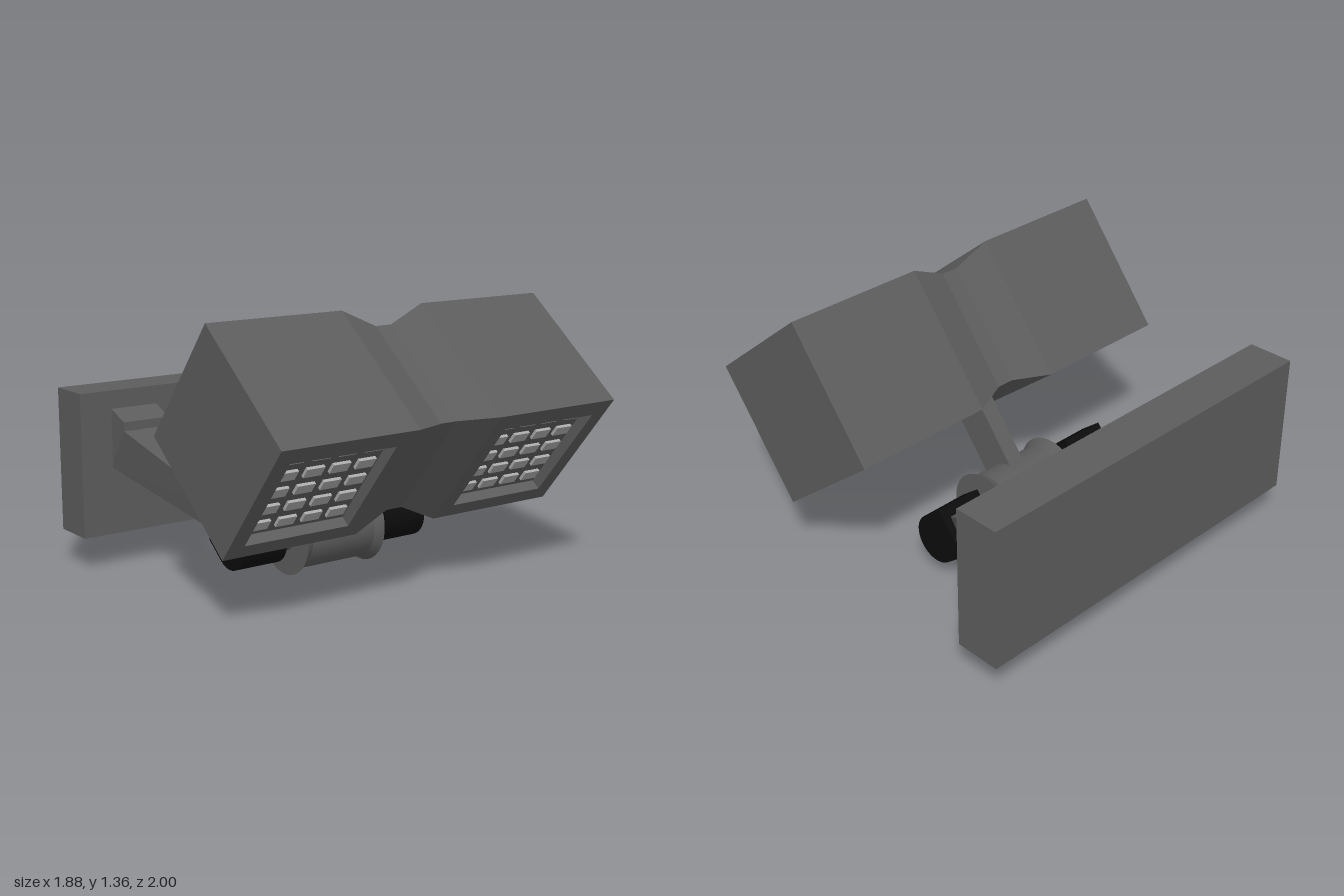
import * as THREE from 'three';
import { toCreasedNormals } from 'three/addons/utils/BufferGeometryUtils.js';
import { ConvexGeometry } from 'three/addons/geometries/ConvexGeometry.js';

const grey = new THREE.MeshStandardMaterial({ color: 0x5c5c5c, flatShading: true });
const greySmooth = new THREE.MeshStandardMaterial({ color: 0x5c5c5c });
const black = new THREE.MeshStandardMaterial({ color: 0x0c0c0c, flatShading: true });
const pale = new THREE.MeshStandardMaterial({ color: 0xaaaaaa, flatShading: true });

const HALF = 0.366;      // half side of the square lamp head
const PIVOT = -0.829;    // joint axis below the head centre
const RECESS = 0.055;    // depth of the light recesses

function add(parent, name, geometry, material, x = 0, y = 0, z = 0) {
  const mesh = new THREE.Mesh(geometry, material);
  mesh.name = name;
  mesh.position.set(x, y, z);
  parent.add(mesh);
  return mesh;
}

// Lathe turned so that its axis runs along z
function latheZ(points, segments, phi = 0) {
  const profile = points.map(([r, z]) => new THREE.Vector2(r, z));
  return new THREE.LatheGeometry(profile, segments, phi).rotateX(Math.PI / 2);
}

// Two wall brackets, each a wedge block and a tapering strut
function addBracket(parent, side) {
  const hull = (pts) => new ConvexGeometry(pts.map(([x, y, z]) => new THREE.Vector3(x, y, z * side)));
  const z0 = 0.595, z1 = 0.848;
  const block = [[-0.715, 0.815], [-0.585, 0.765], [-0.585, 0.72], [-0.715, 0.51]];
  add(parent, 'bracketBlock', hull(block.flatMap(([x, y]) => [[x, y, z0], [x, y, z1]])), grey);
  add(parent, 'bracketStrut', hull([
    [-0.585, 0.72, z0], [-0.585, 0.72, z1], [-0.71, 0.515, z0], [-0.71, 0.515, z1],
    [-0.15, 0.34, 0.36], [-0.15, 0.34, 0.51], [-0.238, 0.21, 0.36], [-0.238, 0.21, 0.51],
  ]), grey);
}

// Black clevis end: flat towards the wall, round on the other side
function clevisGeometry() {
  const r = 0.125;
  const s = new THREE.Shape();
  s.moveTo(-0.137, -r);
  s.lineTo(0, -r);
  s.absarc(0, 0, r, -Math.PI / 2, Math.PI / 2, false);
  s.lineTo(-0.137, r);
  s.closePath();
  return new THREE.ExtrudeGeometry(s, { depth: 0.252, bevelEnabled: false, curveSegments: 8 })
    .translate(0, 0, -0.126);
}

// One end of the lamp head: box, recessed frame and a grid of lights
function addLampEnd(parent, side) {
  const z0 = 0.235, z1 = 0.965, length = z1 - z0, mid = side * (z0 + z1) / 2;
  add(parent, 'lampBox', new THREE.BoxGeometry(2 * HALF - RECESS, 2 * HALF, length), grey, -RECESS / 2, 0, mid);

  const cz = side * 0.6;
  const frame = new THREE.Shape();
  const rect = (path, a0, a1, b0, b1) => path.moveTo(a0, b0).lineTo(a1, b0).lineTo(a1, b1).lineTo(a0, b1).closePath();
  // Shape x runs along -z once turned to face the lamp front
  rect(frame, -mid - length / 2, -mid + length / 2, -HALF, HALF);
  const hole = new THREE.Path();
  rect(hole, -cz - 0.282, -cz + 0.282, -0.283, 0.27);
  frame.holes.push(hole);
  const frameGeo = new THREE.ExtrudeGeometry(frame, { depth: RECESS, bevelEnabled: false }).rotateY(Math.PI / 2);
  add(parent, 'lampFrame', frameGeo, grey, HALF - RECESS, 0, 0);

  const cell = new THREE.BoxGeometry(0.02, 0.055, 0.095);
  for (let row = 0; row < 5; row++) {
    for (let col = 0; col < 4; col++) {
      add(parent, 'lightCell', cell, pale,
        HALF - RECESS + 0.005, -0.213 + row * 0.1123, cz + (col - 1.5) * 0.139);
    }
  }
}

export function createModel() {
  const model = new THREE.Group();
  model.name = 'wallLamp';

  add(model, 'wallPlate', new THREE.BoxGeometry(0.235, 0.73, 2), grey, -0.8275, 0.54, 0);

  const mount = new THREE.Group();
  mount.name = 'mount';
  mount.position.z = -0.0175;
  model.add(mount);

  // Tilted assembly: lamp head, arm and pivot
  const head = new THREE.Group();
  head.name = 'lampHead';
  head.position.set(0.425, 0.85, 0);
  head.rotation.z = -Math.atan2(0.46, 0.57);
  mount.add(head);

  // Square waist pinched between the two lamp ends
  const R = HALF * Math.SQRT2;
  add(head, 'waist', latheZ([[R, -0.235], [R * 0.835, -0.045], [R * 0.835, 0.045], [R, 0.235]], 4, Math.PI / 4), grey);

  add(head, 'arm', new THREE.BoxGeometry(0.2, 0.56, 0.09), grey, 0, PIVOT + 0.28, 0);

  // Flanged drum and its axle
  const drum = latheZ([[0, -0.235], [0.204, -0.235], [0.178, -0.19], [0.178, 0.19], [0.204, 0.235], [0, 0.235]], 32);
  add(head, 'pivotDrum', toCreasedNormals(drum, 0.4), greySmooth, 0, PIVOT, 0);
  const axle = new THREE.CylinderGeometry(0.078, 0.078, 0.64, 24).rotateX(Math.PI / 2);
  add(head, 'axle', axle, greySmooth, 0, PIVOT, 0);

  const clevis = clevisGeometry();
  for (const side of [1, -1]) {
    addBracket(mount, side);
    add(head, 'clevis', clevis, black, 0, PIVOT, side * 0.433);
    addLampEnd(head, side);
  }
  return model;
}
